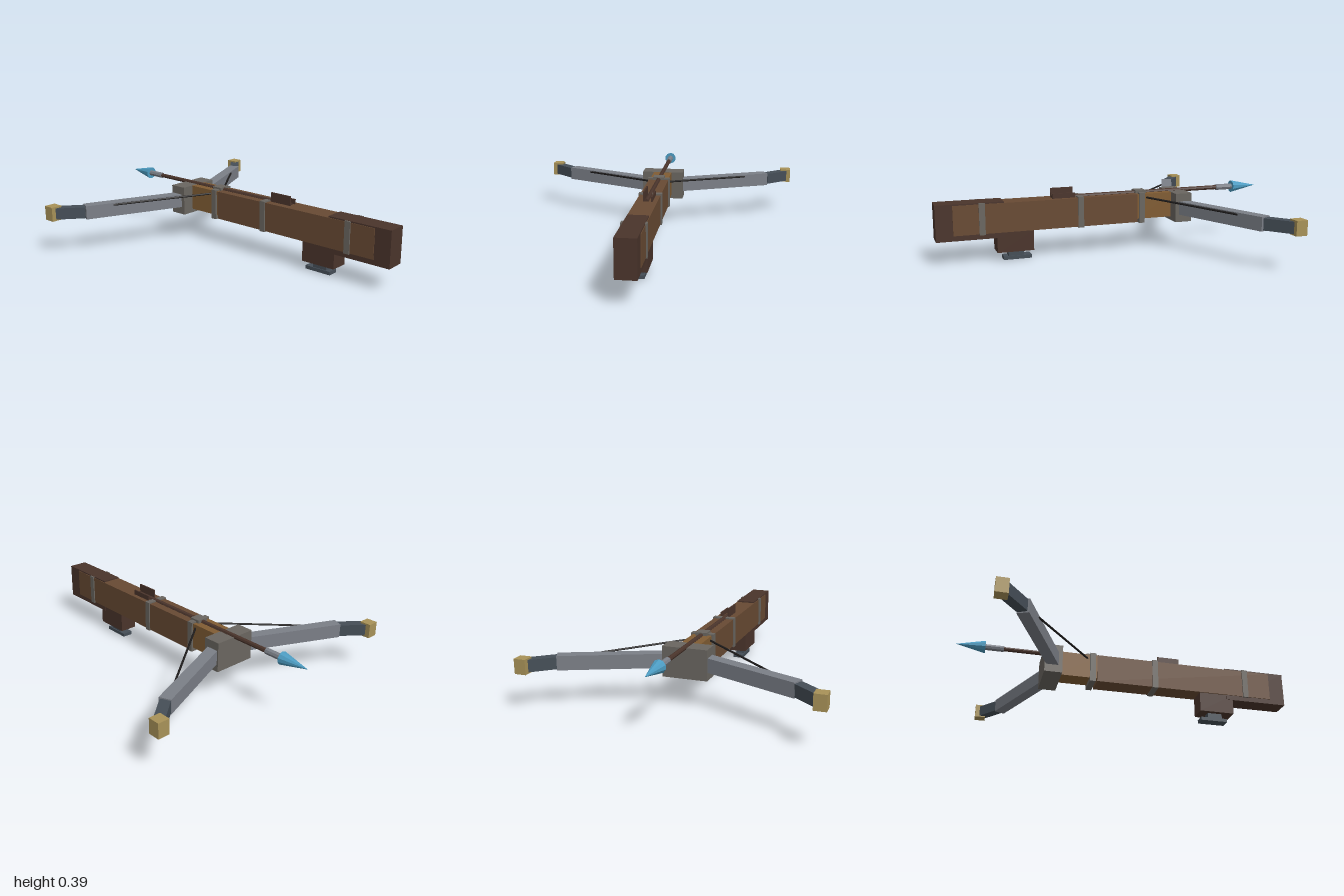
import * as THREE from 'three';

const mat = (name, color) => {
  const m = new THREE.MeshStandardMaterial({ color });
  m.name = name;
  return m;
};

export function createModel() {
  const root = new THREE.Group();
  root.name = 'crossbow';

  const darkWood = mat('dark wood', 0x4a342b);
  const wood = mat('wood', 0x684a33);
  const paleWood = mat('pale wood', 0x805c33);
  const iron = mat('iron', 0x6a6660);
  const steel = mat('steel', 0x7b7f87);
  const darkSteel = mat('dark steel', 0x454e57);
  const brass = mat('brass', 0xa89258);
  const cord = mat('cord', 0x1e1c1c);
  const crystal = mat('blue crystal', 0x4c9cc2);

  const add = (name, geometry, material) => {
    const mesh = new THREE.Mesh(geometry, material);
    mesh.name = name;
    root.add(mesh);
    return mesh;
  };
  // Box given by its extents on each axis
  const box = (name, material, [x0, x1], [y0, y1], [z0, z1]) => {
    const mesh = add(name, new THREE.BoxGeometry(x1 - x0, y1 - y0, z1 - z0), material);
    mesh.position.set((x0 + x1) / 2, (y0 + y1) / 2, (z0 + z1) / 2);
    return mesh;
  };
  const sym = (w) => [-w, w];
  // Flat-sided or round bar running between two points
  const between = (mesh, a, b) => {
    mesh.position.copy(a).add(b).multiplyScalar(0.5);
    mesh.quaternion.setFromUnitVectors(new THREE.Vector3(0, 1, 0), b.clone().sub(a).normalize());
  };

  // Stock
  box('stock', wood, sym(0.06), [0.168, 0.337], [-0.18, 0.905]);
  box('foreStock', paleWood, sym(0.056), [0.187, 0.336], [-0.42, -0.17]);
  box('butt', darkWood, sym(0.056), [0.138, 0.345], [0.62, 1.0]);
  for (const z of [0.745, 0.172, -0.207]) {
    box('band', iron, sym(0.067), [0.163, 0.344], [z - 0.017, z + 0.017]);
  }
  box('stringCatch', iron, sym(0.033), [0.3, 0.354], [-0.243, -0.178]);

  // Grip with its foot
  box('grip', darkWood, sym(0.053), [0.05, 0.17], [0.452, 0.662]);
  box('footPost', darkSteel, sym(0.026), [0.018, 0.052], [0.507, 0.595]);
  box('footPlate', darkSteel, sym(0.032), [0, 0.02], [0.462, 0.624]);

  // Bow: centre block, then mirrored limbs, tips, caps and string
  box('bowBlock', iron, sym(0.128), [0.165, 0.337], [-0.5, -0.397]);
  for (const s of [1, -1]) {
    const bar = (name, material, x0, z0, x1, z1, height, width) => {
      const dx = x1 - x0, dz = z1 - z0;
      const mesh = add(name, new THREE.BoxGeometry(Math.hypot(dx, dz), height, width), material);
      mesh.position.set(s * (x0 + x1) / 2, 0.25, (z0 + z1) / 2);
      mesh.rotation.y = s * Math.atan2(-dz, dx);
    };
    bar('limb', steel, 0.07, -0.43, 0.658, -0.685, 0.08, 0.066);
    bar('limbTip', darkSteel, 0.655, -0.685, 0.79, -0.797, 0.067, 0.056);
    const cap = box('tipCap', brass, sym(0.033), [0.209, 0.293], sym(0.033));
    cap.position.x = s * 0.793;
    cap.position.z = -0.803;
    const a = new THREE.Vector3(0, 0.317, -0.2);
    const b = new THREE.Vector3(s * 0.52, 0.278, -0.593);
    between(add('string', new THREE.CylinderGeometry(0.006, 0.006, a.distanceTo(b), 6), cord), a, b);
  }

  // Bolt lying along the stock, pointing to -z
  const boltY = 0.338;
  const round = (name, material, back, front, rBack, rFront, sides) => {
    const g = new THREE.CylinderGeometry(rFront, rBack, back - front, sides).toNonIndexed();
    g.computeVertexNormals();
    g.rotateX(-Math.PI / 2);
    add(name, g, material).position.set(0, boltY, (back + front) / 2);
  };
  round('boltShaft', darkWood, 0.33, -0.74, 0.013, 0.013, 8);
  round('boltCollar', steel, -0.725, -0.835, 0.018, 0.018, 8);
  round('boltHead', crystal, -0.832, -1.0, 0.037, 0, 10);
  for (let i = 0; i < 3; i++) {
    const t = (i * Math.PI * 2) / 3;
    const vane = box('vane', darkWood, sym(0.004), sym(0.028), [0.2, 0.335]);
    vane.position.x = Math.cos(t) * 0.03;
    vane.position.y = boltY + Math.sin(t) * 0.03;
  }

  return root;
}
